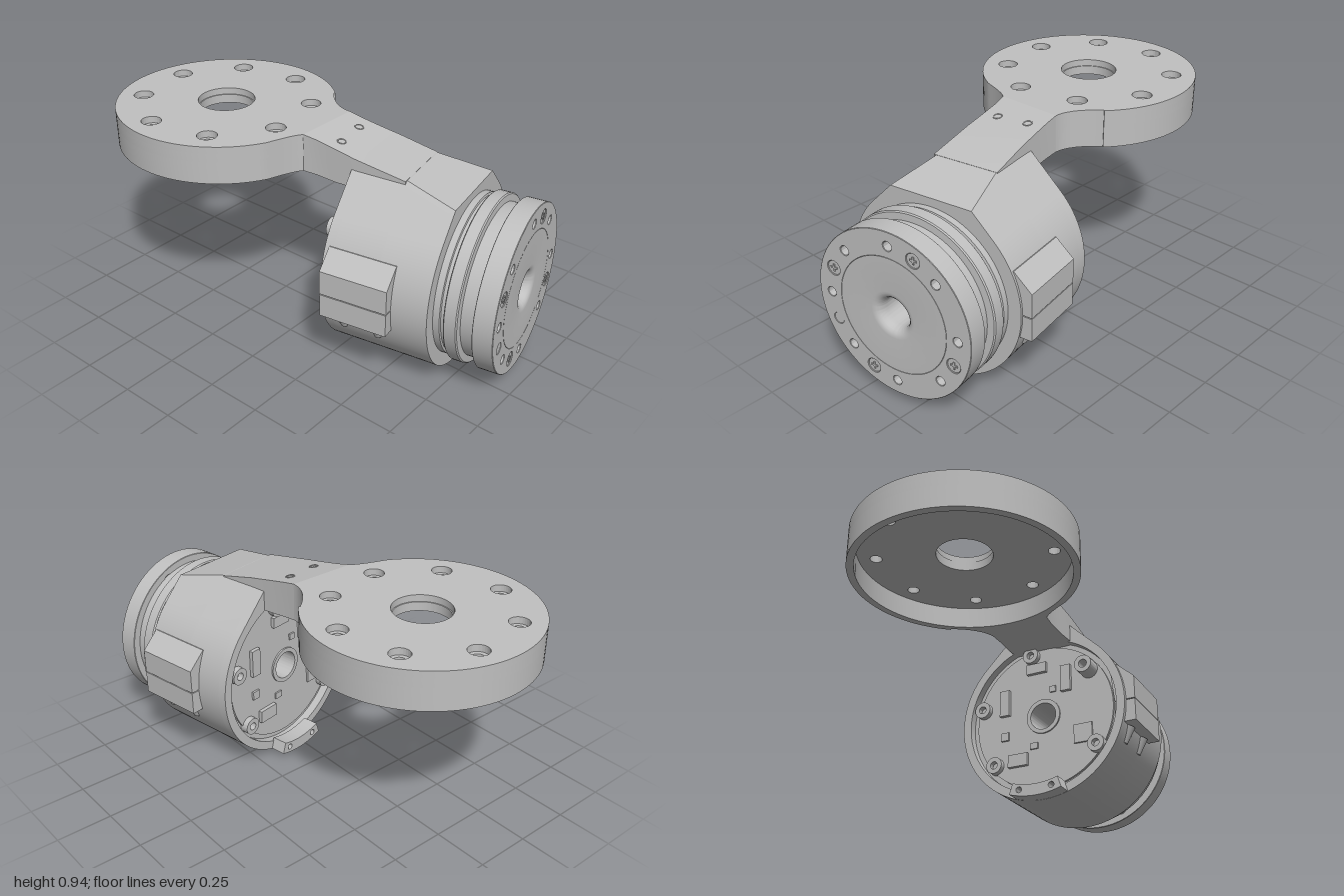
import * as THREE from 'three';
import { toCreasedNormals } from 'three/addons/utils/BufferGeometryUtils.js';

const grey = new THREE.MeshStandardMaterial({ color: 0xc0c0c0 });
grey.name = 'machinedGrey';

function add(parent, name, geometry, x = 0, y = 0, z = 0) {
  const mesh = new THREE.Mesh(geometry, grey);
  mesh.name = name;
  mesh.position.set(x, y, z);
  parent.add(mesh);
  return mesh;
}
const crease = (g) => toCreasedNormals(g, 0.5);
const circle = (x, y, r) => new THREE.Path().absarc(x, y, r, 0, Math.PI * 2, false);

// Straight extrusion of a shape with holes, spanning z0..z1
function slab(shape, holes, z0, z1, bevel = 0) {
  const s = shape.clone();
  s.holes = holes;
  const g = new THREE.ExtrudeGeometry(s, {
    depth: z1 - z0 - 2 * bevel, curveSegments: 40, bevelEnabled: bevel > 0,
    bevelSize: bevel, bevelThickness: bevel, bevelOffset: -bevel, bevelSegments: 1,
  });
  return g.translate(0, 0, z0 + bevel);
}
const rod = (r, len) => new THREE.CylinderGeometry(r, r, len, 24).rotateX(Math.PI / 2);
const onCircle = (r, deg) => [r * Math.cos(deg * Math.PI / 180), r * Math.sin(deg * Math.PI / 180)];

function buildHousing(motor) {
  // Round body whose shoulders run at 45 degrees up to a flat top
  const R = 0.415, top = 0.44, frontTop = 0.392, sum = R * Math.SQRT2;
  const outline = new THREE.Shape();
  outline.absarc(0, 0, R, Math.PI * 0.75, Math.PI * 2.25, false);
  outline.lineTo(sum - top, top);
  outline.lineTo(top - sum, top);
  outline.closePath();

  add(motor, 'housingBackRim', crease(slab(outline, [circle(0, 0, 0.375)], -0.74, -0.7)));
  add(motor, 'housingBody', crease(slab(outline, [circle(0, 0, 0.065)], -0.7, -0.49)));
  // The front section drops its top to meet the sloping arm
  const front = slab(outline, [circle(0, 0, 0.065)], -0.49, -0.26);
  const p = front.attributes.position;
  for (let i = 0; i < p.count; i++) {
    if (p.getZ(i) > -0.3 && p.getY(i) > top - 0.001) {
      p.setXY(i, Math.sign(p.getX(i)) * (sum - frontTop), frontTop);
    }
  }
  add(motor, 'housingFront', crease(front));
}

function buildRotor(motor) {
  // Grooved rotor core with a flared bore
  const profile = [
    [0.355, -0.262], [0.355, -0.232], [0.345, -0.23], [0.345, -0.213], [0.365, -0.211], [0.37, -0.206],
    [0.37, -0.157], [0.365, -0.152], [0.335, -0.15], [0.335, -0.085], [0.256, -0.085], [0.256, 0],
    [0.105, 0], [0.095, -0.001], [0.084, -0.005], [0.075, -0.013], [0.068, -0.026], [0.065, -0.045],
    [0.065, -0.262],
  ].map(([r, z]) => new THREE.Vector2(r, z));
  add(motor, 'rotorCore', crease(new THREE.LatheGeometry(profile, 72).rotateX(Math.PI / 2)));

  // Drilled front flange
  const holes = [circle(0, 0, 0.256)];
  for (let i = 0; i < 8; i++) holes.push(circle(...onCircle(0.308, i * 45), 0.02));
  const screws = [67.5, 157.5, 247.5, 337.5];
  for (const a of screws) holes.push(circle(...onCircle(0.308, a), 0.031));
  holes.push(circle(...onCircle(0.308, 202.5), 0.024));
  const disc = new THREE.Shape().absarc(0, 0, 0.37, 0, Math.PI * 2, false);
  add(motor, 'rotorFlange', crease(slab(disc, holes, -0.088, 0, 0.002)));

  // Cross-head screws and a plain pin
  for (const a of screws) {
    const [x, y] = onCircle(0.308, a);
    add(motor, 'screwHead', rod(0.0305, 0.06), x, y, -0.034);
    add(motor, 'screwCross', new THREE.BoxGeometry(0.032, 0.008, 0.006), x, y, -0.003);
    add(motor, 'screwCross', new THREE.BoxGeometry(0.008, 0.032, 0.006), x, y, -0.003);
  }
  add(motor, 'flangePin', rod(0.024, 0.06), ...onCircle(0.308, 202.5), -0.032);
}

function buildSideBlocks(motor) {
  // Split connector covers, staggered along the two sides
  for (const [side, z0, z1] of [[1, -0.575, -0.27], [-1, -0.72, -0.417]]) {
    const parts = {
      sideBlockUpper: [[0.36, 0.002], [0.457, 0.002], [0.457, 0.11], [0.375, 0.185], [0.34, 0.185]],
      sideBlockLower: [[0.36, -0.105], [0.457, -0.105], [0.457, -0.002], [0.36, -0.002]],
    };
    for (const [name, pts] of Object.entries(parts)) {
      const shape = new THREE.Shape(pts.map(([x, y]) => new THREE.Vector2(x * side, y)));
      add(motor, name, slab(shape, [], z0, z1));
    }
    // Tapered cable reliefs sinking into the body
    for (const t of [0.24, 0.76]) {
      const cone = new THREE.CylinderGeometry(0.034, 0.018, 0.08, 20);
      const relief = add(motor, 'cableRelief', cone, side * 0.378, -0.14, z0 + (z1 - z0) * t);
      relief.rotation.z = -side * 0.3;
    }
  }
}

function buildBack(motor) {
  // Circuit board set into the back
  const board = new THREE.Shape().absarc(0, 0, 0.35, 0, Math.PI * 2, false);
  add(motor, 'circuitBoard', crease(slab(board, [circle(0, 0, 0.065)], -0.712, -0.699)));
  const collar = new THREE.Shape().absarc(0, 0, 0.085, 0, Math.PI * 2, false);
  add(motor, 'boreCollar', crease(slab(collar, [circle(0, 0, 0.065)], -0.72, -0.7)));

  // Connectors and chips: x, y, width, height, depth
  const chips = [
    [0.2, 0.1, 0.05, 0.13, 0.02], [-0.12, 0.17, 0.05, 0.13, 0.02], [-0.2, -0.12, 0.09, 0.09, 0.012],
    [0.13, -0.2, 0.1, 0.06, 0.02], [0.03, 0.25, 0.1, 0.05, 0.02], [0.2, -0.07, 0.04, 0.04, 0.012],
    [0.05, -0.14, 0.04, 0.03, 0.01], [-0.05, 0.13, 0.03, 0.03, 0.01],
  ];
  for (const [x, y, w, h, d] of chips) {
    add(motor, 'boardComponent', new THREE.BoxGeometry(w, h, d), x, y, -0.71 - d / 2);
  }
  for (const a of [80, 15, 320, 215]) {
    const [x, y] = onCircle(0.325, a);
    const lug = new THREE.Shape().absarc(x, y, 0.04, 0, Math.PI * 2, false);
    add(motor, 'mountingLug', crease(slab(lug, [circle(x, y, 0.018)], -0.739, -0.7)));
  }

  // Long standoff
  const [bx, by] = [-0.237, 0.19];
  const boss = new THREE.Shape().absarc(bx, by, 0.042, 0, Math.PI * 2, false);
  add(motor, 'standoff', crease(slab(boss, [circle(bx, by, 0.02)], -0.79, -0.7)));

  // Curved tab at the bottom edge
  const a0 = Math.PI * 1.4, a1 = Math.PI * 1.6;
  const tab = new THREE.Shape();
  tab.absarc(0, 0, 0.414, a0, a1, false);
  tab.absarc(0, 0, 0.36, a1, a0, true);
  tab.closePath();
  const tabHoles = [258, 282].map((a) => circle(...onCircle(0.386, a), 0.014));
  add(motor, 'bottomTab', crease(slab(tab, tabHoles, -0.812, -0.735)));
}

function buildArm(root) {
  // Ring plate outline, drawn in x and -z, flaring into the neck
  const cx = -0.083, cz = 0.507, R = 0.492;
  const outline = new THREE.Shape();
  outline.moveTo(0.165, 0);
  outline.quadraticCurveTo(0.165, 0.09, 0.275, 0.18);
  outline.absarc(cx, cz, R, Math.atan2(0.18 - cz, 0.275 - cx), Math.PI * 1.5 - 0.45, false);
  outline.quadraticCurveTo(-0.17, 0.025, -0.145, 0);
  outline.closePath();

  const boltHoles = (r) => Array.from({ length: 8 }, (_, i) => {
    const [x, y] = onCircle(0.382, 77.5 - i * 45);
    return circle(cx + x, cz + y, r);
  });
  const lay = (g) => crease(g.rotateX(-Math.PI / 2));
  add(root, 'armPlateTop', lay(slab(outline, [circle(cx, cz, 0.127), ...boltHoles(0.044)], 0.92, 0.95)));
  add(root, 'armPlateFloor', lay(slab(outline, [circle(cx, cz, 0.122), ...boltHoles(0.026)], 0.88, 0.92)));
  add(root, 'armRim', lay(slab(outline, [circle(cx, cz, 0.46)], 0.781, 0.88)));

  // Neck lofted through rectangular sections: left z, right z, left x, right x, top y, bottom y
  const sections = [
    [0, 0, -0.145, 0.165, 0.95, 0.781], [0.06, 0.06, -0.13, 0.17, 0.938, 0.776],
    [0.15, 0.15, -0.12, 0.183, 0.92, 0.768], [0.25, 0.25, -0.11, 0.2, 0.901, 0.768],
    [0.475, 0.42, -0.073, 0.232, 0.861, 0.768],
  ];
  const pos = [], idx = [];
  for (const [zl, zr, l, r, t, b] of sections) pos.push(l, b, zl, r, b, zr, r, t, zr, l, t, zl);
  for (let s = 0; s < sections.length - 1; s++) {
    for (let k = 0; k < 4; k++) {
      const a = s * 4 + k, b = s * 4 + (k + 1) % 4;
      idx.push(a, b, b + 4, a, b + 4, a + 4);
    }
  }
  const e = (sections.length - 1) * 4;
  idx.push(0, 2, 1, 0, 3, 2, e, e + 1, e + 2, e, e + 2, e + 3);
  const neck = new THREE.BufferGeometry();
  neck.setAttribute('position', new THREE.Float32BufferAttribute(pos, 3));
  neck.setIndex(idx);
  add(root, 'armNeck', crease(neck));

  // Small screw rims on the neck
  for (const [x, z] of [[-0.05, 0.13], [0.1, 0.105]]) {
    const ring = new THREE.TorusGeometry(0.018, 0.003, 6, 20).rotateX(-Math.PI / 2 + 0.195);
    add(root, 'neckScrewRim', ring, x, 0.95 - z * 0.198, z);
  }
}

export function createModel() {
  const root = new THREE.Group();
  root.name = 'motorArm';
  // Motor unit, turned slightly about the vertical
  const motor = new THREE.Group();
  motor.name = 'motorUnit';
  motor.position.set(0.17, 0.42, 0.934);
  motor.rotation.y = Math.PI / 18;
  root.add(motor);
  buildHousing(motor);
  buildRotor(motor);
  buildSideBlocks(motor);
  buildBack(motor);
  buildArm(root);
  return root;
}
